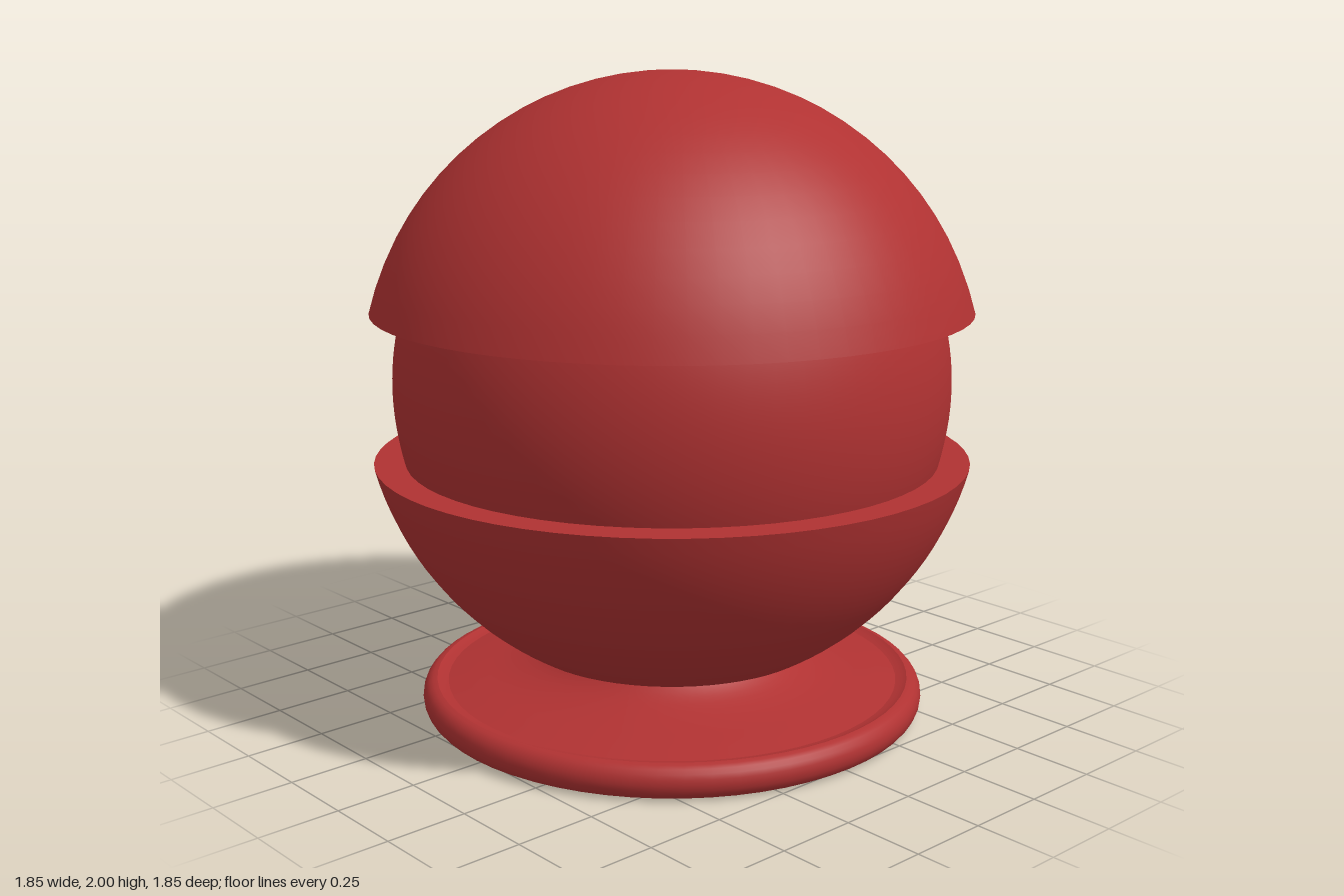
import * as THREE from 'three';

const CY = 1.0475;   // shared centre height of the sphere parts
const R_SHELL = 0.9525, R_CORE = 0.86;
const CUT_TOP = 1.28, CUT_LOW = 0.815, CUT_BASE = 0.225;

export function createModel() {
  const red = new THREE.MeshStandardMaterial({ color: 0xb03232 });
  red.name = 'red';
  const model = new THREE.Group();
  model.name = 'ballOnStand';

  // Each profile runs bottom to top so that its faces point outward
  const lathe = (name, points, parent) => {
    const pts = points.map(([r, y]) => new THREE.Vector2(r, y));
    const mesh = new THREE.Mesh(new THREE.LatheGeometry(pts, 64), red);
    mesh.name = name;
    parent.add(mesh);
  };
  // Profile of a sphere between two heights
  const arc = (radius, y0, y1, n = 16) => {
    const angle = (y) => Math.asin(THREE.MathUtils.clamp((y - CY) / radius, -1, 1));
    const a0 = angle(y0), a1 = angle(y1);
    return Array.from({ length: n + 1 }, (_, i) => {
      const a = a0 + (a1 - a0) * i / n;
      return [Math.max(0, radius * Math.cos(a)), CY + radius * Math.sin(a)];
    });
  };
  const radiusAt = (radius, y) => Math.sqrt(radius ** 2 - (y - CY) ** 2);
  const part = (name) => {
    const g = new THREE.Group();
    g.name = name;
    model.add(g);
    return g;
  };

  // Upper shell with its flat underside lip
  const upper = part('upperShell');
  lathe('upperDome', arc(R_SHELL, CUT_TOP, CY + R_SHELL), upper);
  lathe('upperLip', [[radiusAt(R_CORE, CUT_TOP) - 0.01, CUT_TOP], [radiusAt(R_SHELL, CUT_TOP), CUT_TOP]], upper);

  // Inner ball showing between the shells
  lathe('innerBall', arc(R_CORE, CUT_LOW - 0.02, CUT_TOP + 0.02), model);

  // Lower shell with its flat lip and cut-off bottom
  const lower = part('lowerShell');
  lathe('lowerBowl', arc(R_SHELL, CUT_BASE, CUT_LOW), lower);
  lathe('lowerLip', [[radiusAt(R_SHELL, CUT_LOW), CUT_LOW], [radiusAt(R_CORE, CUT_LOW) - 0.01, CUT_LOW]], lower);
  lathe('bowlBottom', [[0, CUT_BASE], [radiusAt(R_SHELL, CUT_BASE), CUT_BASE]], lower);

  // Stand: flat bottom, rounded rim, shallow groove and flared neck
  const stand = part('stand');
  lathe('standBottom', [[0, 0], [0.75, 0]], stand);
  const rim = Array.from({ length: 11 }, (_, i) => {
    const a = -Math.PI / 2 + Math.PI * i / 10;
    return [0.75 + 0.045 * Math.cos(a), 0.0525 + 0.0525 * Math.sin(a)];
  });
  lathe('standRim', rim, stand);
  lathe('standGroove', [[0.75, 0.105], [0.735, 0.098], [0.715, 0.094]], stand);
  const neck = new THREE.CatmullRomCurve3([
    [0.715, 0.094], [0.63, 0.11], [0.52, 0.13], [0.43, 0.158], [0.38, 0.19], [0.345, 0.228],
  ].map(([r, y]) => new THREE.Vector3(r, y, 0)));
  lathe('standNeck', neck.getPoints(14).map((p) => [p.x, p.y]), stand);

  return model;
}
